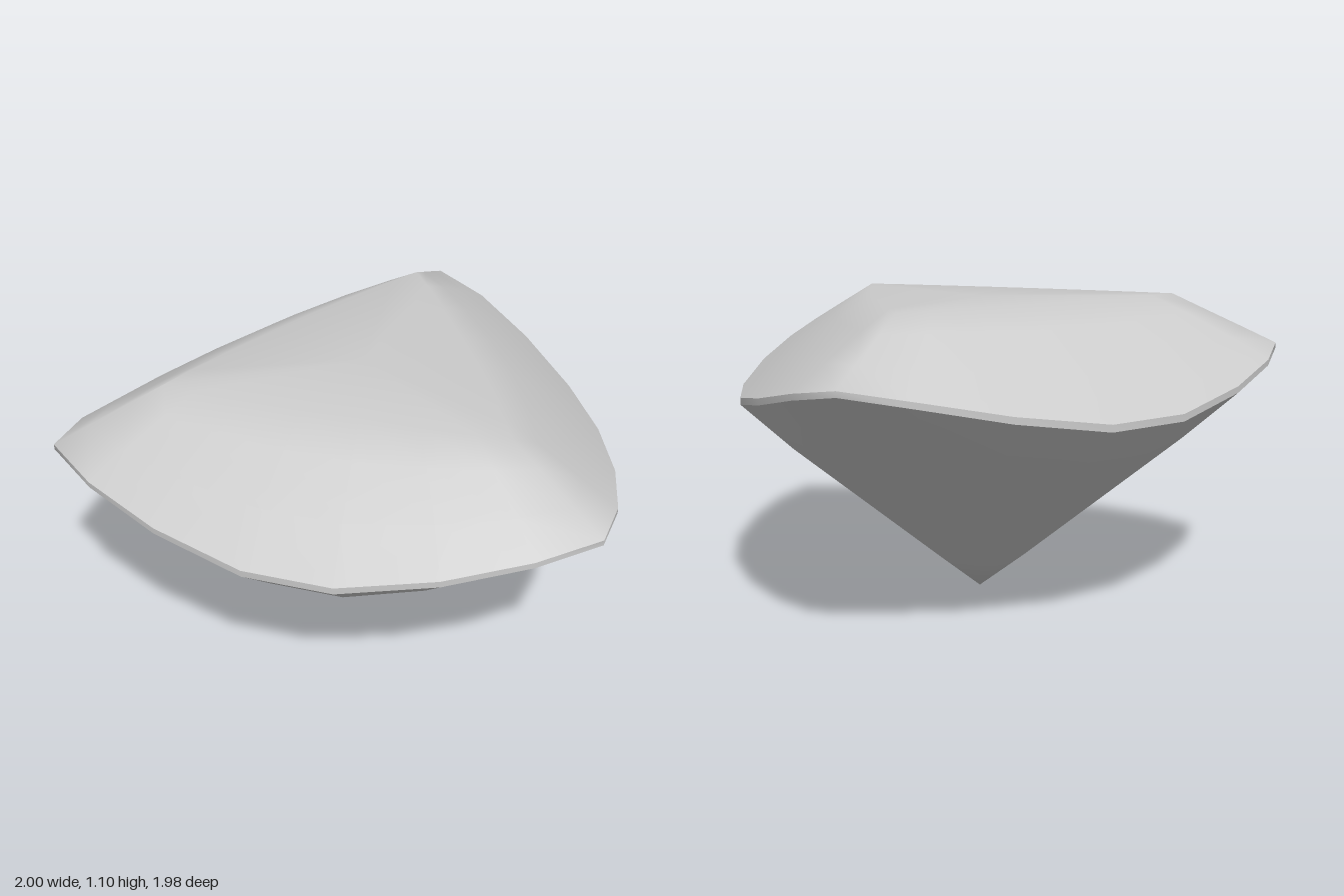
import * as THREE from 'three';

const CENTRE_X = -0.128;
// One bowed side, from a corner to its middle: width, bulge and height fractions
const WIDTH = [1, 0.8, 0.51, 0.164];
const BULGE = [0, 0.42, 0.77, 1];
const DROP = [0, 0.25, 0.65, 1];
const COUNT = 21;

// Three-sided ring: corner radius and height, mid-side distance and height
function ring(cornerR, cornerY, midR, midY) {
  const points = [];
  for (let side = 0; side < 3; side++) {
    const a = Math.PI / 3 + side * Math.PI * 2 / 3;
    for (let i = 0; i < 7; i++) {
      const k = i < 4 ? i : 7 - i;
      const along = cornerR * Math.sin(Math.PI / 3) * WIDTH[k] * (i < 4 ? -1 : 1);
      const out = cornerR / 2 + (midR - cornerR / 2) * BULGE[k];
      points.push([
        CENTRE_X + Math.cos(a) * out - Math.sin(a) * along,
        cornerY + (midY - cornerY) * DROP[k],
        Math.sin(a) * out + Math.cos(a) * along,
      ]);
    }
  }
  return points;
}

// Skin rings from top to bottom, with optional centre points closing the ends
function skin(name, rings, topY, bottomY) {
  const verts = rings.flat();
  const index = [];
  for (let r = 0; r < rings.length - 1; r++) {
    for (let i = 0; i < COUNT; i++) {
      const j = (i + 1) % COUNT;
      const t = r * COUNT, b = t + COUNT;
      index.push(t + i, t + j, b + i, t + j, b + j, b + i);
    }
  }
  const last = (rings.length - 1) * COUNT;
  if (topY !== undefined) {
    const c = verts.push([CENTRE_X, topY, 0]) - 1;
    for (let i = 0; i < COUNT; i++) index.push(c, (i + 1) % COUNT, i);
  }
  if (bottomY !== undefined) {
    const c = verts.push([CENTRE_X, bottomY, 0]) - 1;
    for (let i = 0; i < COUNT; i++) index.push(last + i, last + (i + 1) % COUNT, c);
  }
  const geo = new THREE.BufferGeometry();
  geo.setAttribute('position', new THREE.Float32BufferAttribute(verts.flat(), 3));
  geo.setIndex(index);
  geo.computeVertexNormals();
  const mesh = new THREE.Mesh(geo, new THREE.MeshStandardMaterial({ color: 0xcccccc }));
  mesh.name = name;
  return mesh;
}

export function createModel() {
  const gem = new THREE.Group();
  gem.name = 'triangularGem';
  const girdleTop = ring(1.128, 0.91, 0.872, 0.765);
  const girdleBottom = ring(1.128, 0.89, 0.872, 0.74);

  // Flat table and sloping upper facets
  gem.add(skin('crown', [
    ring(0.72, 1.1, 0.39, 1.1),
    ring(0.84, 1.044, 0.53, 1.03),
    ring(1.0, 0.97, 0.71, 0.905),
    girdleTop,
  ], 1.1));

  // Thin wavy rim
  gem.add(skin('girdle', [girdleTop, girdleBottom]));

  // Lower facets meeting at a point
  gem.add(skin('pavilion', [
    girdleBottom,
    ring(0.92, 0.72, 0.69, 0.57),
    ring(0.21, 0.15, 0.16, 0.13),
  ], undefined, 0));
  return gem;
}
